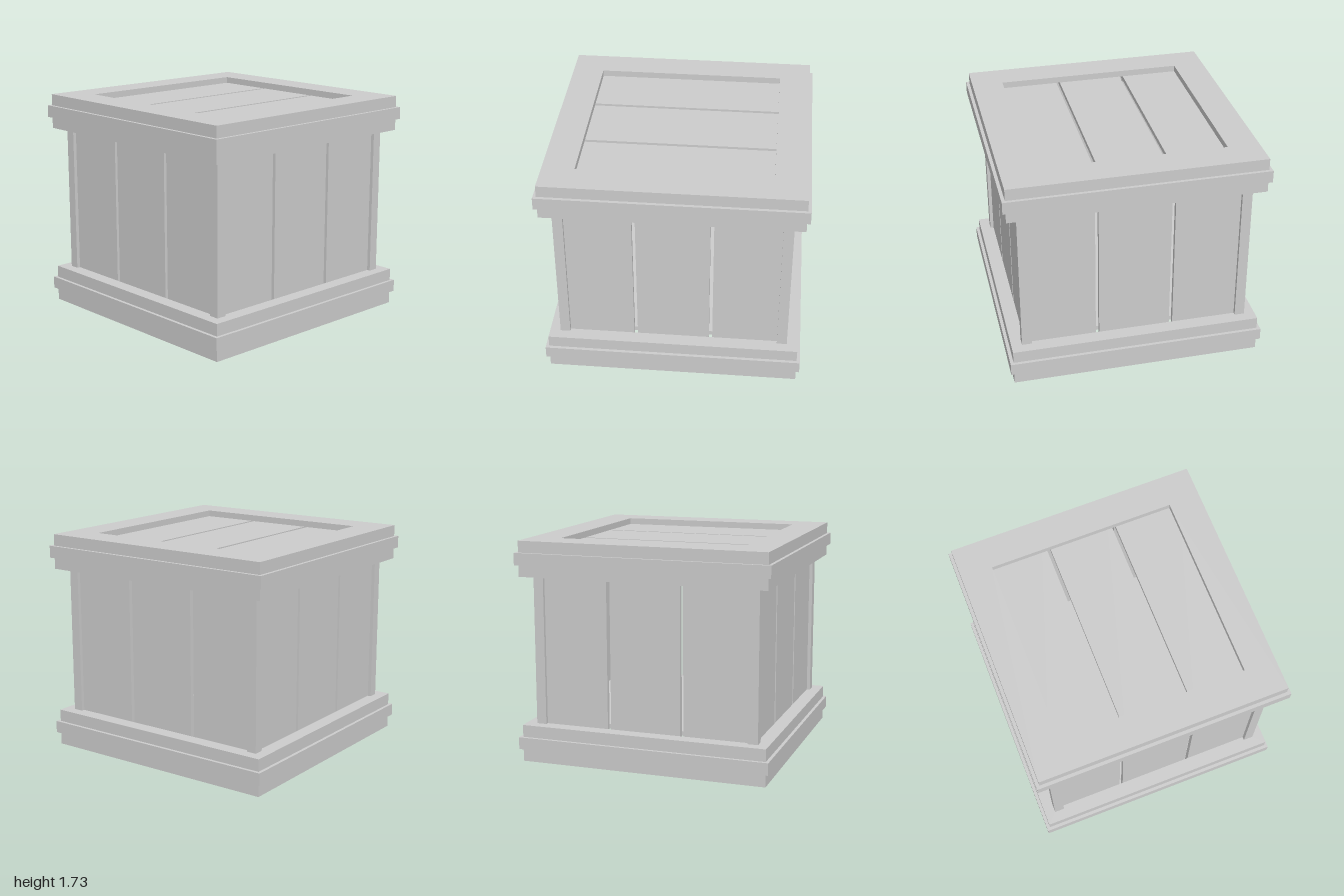
import * as THREE from 'three';

export function createModel() {
  const group = new THREE.Group();
  const material = new THREE.MeshStandardMaterial({ color: 0xcccccc, flatShading: true });

  const add = (name, geometry, parent = group) => {
    const mesh = new THREE.Mesh(geometry, material);
    mesh.name = name;
    parent.add(mesh);
    return mesh;
  };

  // Axis-aligned box given by its limits
  const box = (name, x0, x1, y0, y1, z0, z1, parent) => {
    const mesh = add(name, new THREE.BoxGeometry(x1 - x0, y1 - y0, z1 - z0), parent);
    mesh.position.set((x0 + x1) / 2, (y0 + y1) / 2, (z0 + z1) / 2);
    return mesh;
  };

  // Square ring lying flat, from height y0 to y1
  const square = (PathType, r) => new PathType([
    new THREE.Vector2(-r, -r), new THREE.Vector2(r, -r),
    new THREE.Vector2(r, r), new THREE.Vector2(-r, r),
  ]);
  const ring = (name, outer, inner, y0, y1) => {
    const shape = square(THREE.Shape, outer);
    shape.holes.push(square(THREE.Path, inner));
    const geometry = new THREE.ExtrudeGeometry(shape, { depth: y1 - y0, bevelEnabled: false });
    geometry.rotateX(-Math.PI / 2);
    add(name, geometry).position.y = y0;
  };

  const wallOuter = 0.865, wallInner = 0.83, opening = 0.73;

  // Base frame: thin lip underneath, wider middle band
  ring('baseLip', 0.975, opening, 0, 0.012);
  ring('baseLowerBand', 0.975, wallOuter, 0.012, 0.1);
  ring('baseMiddleBand', 1, wallOuter, 0.1, 0.195);
  ring('baseUpperBand', 0.975, wallOuter, 0.195, 0.29);

  // Lid frame: same bands, with a lip around the recessed lid planks
  ring('lidLowerBand', 0.975, wallOuter, 1.455, 1.545);
  ring('lidMiddleBand', 1, wallOuter, 1.545, 1.64);
  ring('lidUpperBand', 0.975, wallOuter, 1.64, 1.68);
  ring('lidLip', 0.975, opening, 1.68, 1.73);

  // Solid floor
  box('floor', -wallInner, wallInner, 0.285, 0.32, -wallInner, wallInner);

  // Three planks on each of the four walls
  const wallPlanks = [[-0.82, -0.307], [-0.28, 0.28], [0.307, 0.82]];
  for (let side = 0; side < 4; side++) {
    const wall = new THREE.Group();
    wall.name = 'wall';
    wall.rotation.y = side * Math.PI / 2;
    for (const [x0, x1] of wallPlanks) {
      box('wallPlank', x0, x1, 0.012, 1.64, wallInner, wallOuter, wall);
    }
    group.add(wall);
  }

  // Corner posts
  for (const x of [-0.853, 0.853]) {
    for (const z of [-0.853, 0.853]) {
      box('cornerPost', x - 0.039, x + 0.039, 0.012, 1.64, z - 0.039, z + 0.039);
    }
  }

  // Lid planks, running front to back
  for (const [x0, x1] of [[-0.85, -0.284], [-0.256, 0.253], [0.281, 0.85]]) {
    box('lidPlank', x0, x1, 1.642, 1.679, -0.85, 0.85);
  }

  return group;
}
